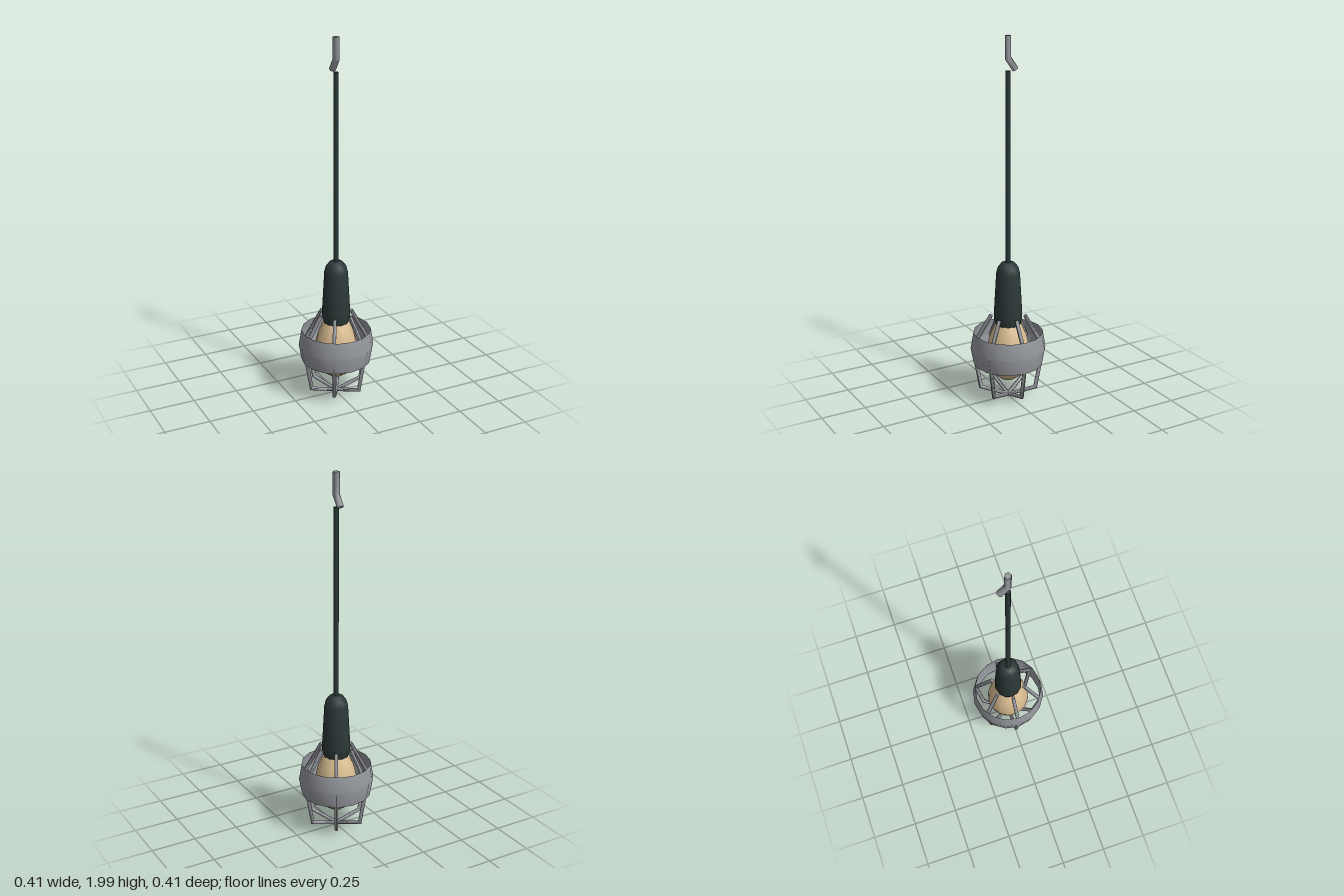
import * as THREE from 'three';
import { toCreasedNormals } from 'three/addons/utils/BufferGeometryUtils.js';

const V = (x, y) => new THREE.Vector2(x, y);

// Capped rod with mitred bends along a path in the x-y plane
function rod(path, r, sides) {
  const pos = [], idx = [];
  const pts = path.map(([x, y]) => V(x, y));
  const dir = pts.slice(1).map((p, i) => p.clone().sub(pts[i]).normalize());
  pts.forEach((p, i) => {
    const a = dir[Math.max(i - 1, 0)], b = dir[Math.min(i, dir.length - 1)];
    const t = a.clone().add(b).normalize();
    const stretch = 1 / t.dot(a);
    for (let j = 0; j < sides; j++) {
      const q = (j / sides) * Math.PI * 2;
      const c = Math.cos(q) * r * stretch;
      pos.push(p.x - t.y * c, p.y + t.x * c, Math.sin(q) * r);
    }
  });
  for (let i = 0; i < dir.length; i++) {
    for (let j = 0; j < sides; j++) {
      const k = (j + 1) % sides, a = i * sides + j, b = i * sides + k;
      idx.push(a, b, b + sides, a, b + sides, a + sides);
    }
  }
  const last = (pts.length - 1) * sides;
  for (let j = 1; j < sides - 1; j++) {
    idx.push(0, j + 1, j, last, last + j, last + j + 1);
  }
  const g = new THREE.BufferGeometry();
  g.setAttribute('position', new THREE.Float32BufferAttribute(pos, 3));
  g.setIndex(idx);
  return toCreasedNormals(g, 1.1);
}

const lathe = (profile, sides, crease = 0.8) =>
  toCreasedNormals(new THREE.LatheGeometry(profile.map(([x, y]) => V(x, y)), sides), crease);

export function createModel() {
  const rubber = new THREE.MeshStandardMaterial({ name: 'dark rubber', color: 0x2b3837 });
  const metal = new THREE.MeshStandardMaterial({ name: 'grey metal', color: 0x95989e });
  const bandMetal = metal.clone();
  bandMetal.side = THREE.DoubleSide;
  const glass = new THREE.MeshStandardMaterial({ name: 'warm bulb', color: 0xd9bd91 });

  const model = new THREE.Group();
  model.name = 'hangingCageLamp';
  const add = (name, geometry, material, parent = model) => {
    const mesh = new THREE.Mesh(geometry, material);
    mesh.name = name;
    parent.add(mesh);
    return mesh;
  };

  // Ceiling hook, bent towards the back
  add('hook', rod([[0, 2], [0, 1.885], [0.042, 1.826]], 0.018, 6), metal).rotation.y = Math.PI / 2;

  // Cord
  const cord = new THREE.CylinderGeometry(0.014, 0.014, 1.04, 8);
  add('cord', cord, rubber).position.y = 1.3;

  // Tapered handle with a domed top
  add('handle', lathe([
    [0, 0.425], [0.066, 0.425], [0.077, 0.47], [0.077, 0.5], [0.064, 0.73],
    [0.055, 0.765], [0.036, 0.787], [0, 0.793],
  ], 12), rubber);

  // Bulb
  add('bulb', lathe([
    [0, 0.108], [0.04, 0.116], [0.08, 0.146], [0.108, 0.196], [0.119, 0.25],
    [0.115, 0.31], [0.1, 0.37], [0.074, 0.43], [0.055, 0.46],
  ], 14, 1.0), glass);

  // Cage: open band and six bent bars meeting below the bulb
  const cage = new THREE.Group();
  cage.name = 'cage';
  model.add(cage);
  add('band', lathe([[0.19, 0.212], [0.206, 0.303], [0.19, 0.392]], 16, 0.5), bandMetal, cage);
  const bar = rod([[0.092, 0.485], [0.193, 0.303], [0.15, 0.058], [0, 0.016]], 0.011, 6);
  for (let i = 0; i < 6; i++) {
    add('cageBar', bar, metal, cage).rotation.y = (i * Math.PI) / 3;
  }
  return model;
}
